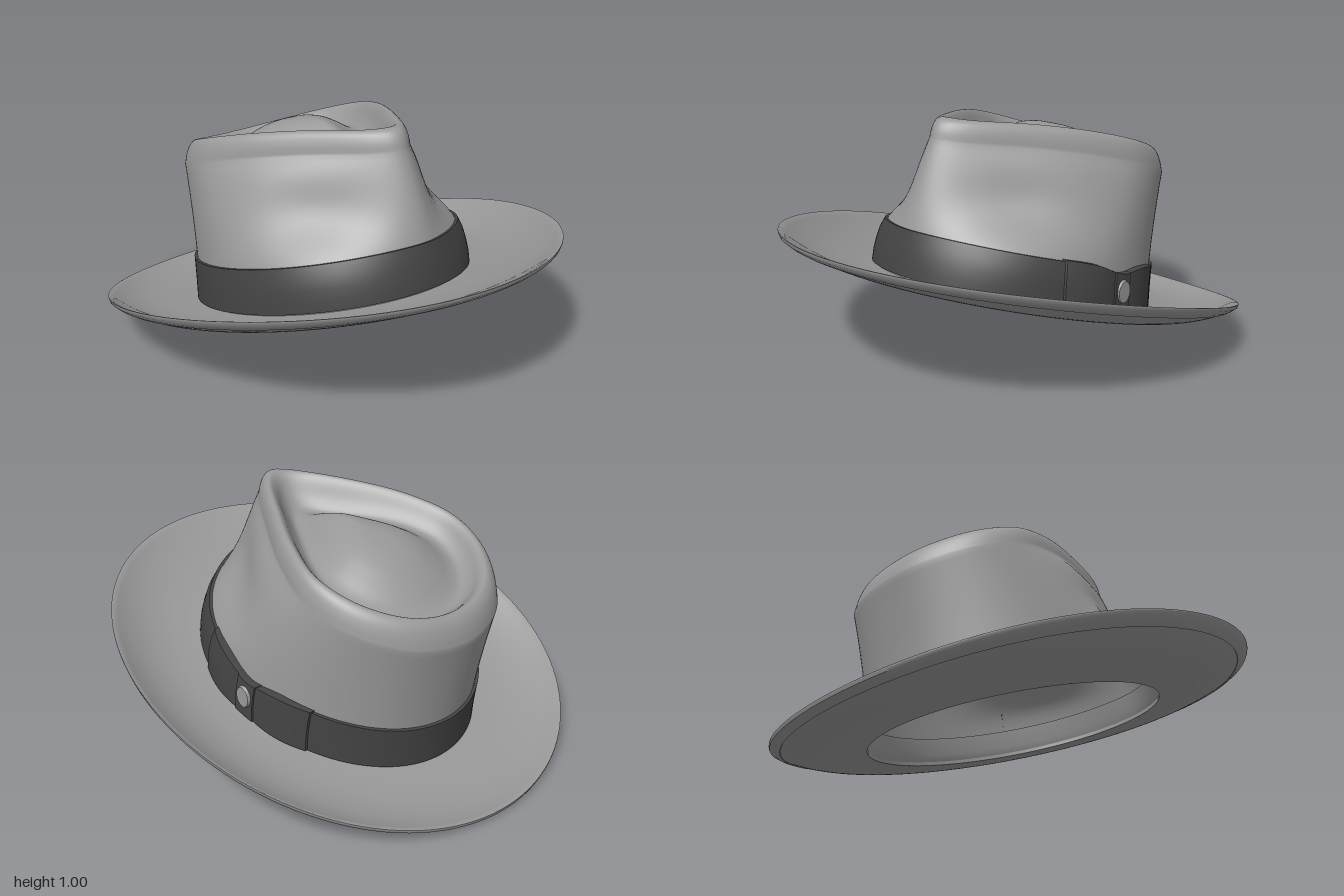
import * as THREE from 'three';
import { toCreasedNormals } from 'three/addons/utils/BufferGeometryUtils.js';

const SEG = 128;
const RAD = Math.PI / 180;
const { lerp, clamp } = THREE.MathUtils;
const BASE = -0.06; // height of the crown's lower edge above the sloping hat plane
const KNOT = 94 * RAD; // direction of the bow knot (0 = front, 90 = +x)

// The whole hat sits on a plane that rises toward the front
const tilt = (x, h, z) => [x, h + 0.3 + 0.28 * z, z];

// Skin between rows of points; point(row, angle, fraction) -> [x, height, z]
function loft(rows, point, { from = 0, to = Math.PI * 2, seg = SEG, crease = 0 } = {}) {
  const closed = to - from > 6.28;
  const cols = closed ? seg : seg + 1;
  const pos = [], idx = [];
  for (const row of rows) {
    for (let i = 0; i < cols; i++) pos.push(...tilt(...point(row, lerp(from, to, i / seg), i / seg)));
  }
  for (let j = 0; j < rows.length - 1; j++) {
    for (let i = 0; i < seg; i++) {
      const k = (i + 1) % cols;
      const a = j * cols + i, b = j * cols + k, c = a + cols, d = b + cols;
      idx.push(a, b, d, a, d, c);
    }
  }
  const geo = new THREE.BufferGeometry();
  geo.setAttribute('position', new THREE.Float32BufferAttribute(pos, 3));
  geo.setIndex(idx);
  geo.computeVertexNormals();
  return crease ? toCreasedNormals(geo, crease) : geo;
}

// Smooth profile through a few [a, b] points
function smooth(points, n) {
  const curve = new THREE.CatmullRomCurve3(points.map(([a, b]) => new THREE.Vector3(a, b, 0)));
  return curve.getPoints(n).map((p) => [p.x, p.y]);
}

// Oval outline of the head opening
const oval = (t) => [0.535 * Math.sin(t), -0.01 + 0.62 * Math.cos(t)];

// Teardrop outline of the top: rounded point in front, round back
const side = [[0.07, 0.39], [0.235, 0.16], [0.385, -0.1], [0.445, -0.3], [0.395, -0.5], [0.235, -0.665]];
const dropCurve = new THREE.CatmullRomCurve3(
  [[0, 0.43], ...side, [0, -0.725], ...side.map(([x, z]) => [-x, z]).reverse()]
    .map(([x, z]) => new THREE.Vector3(x, 0, z)), true);
function teardrop(t) {
  const p = dropCurve.getPointAt(t / (Math.PI * 2));
  return [p.x, p.z];
}
const rimHeight = (t) => 0.62 + 0.04 * Math.sin(t) ** 2 - 0.02 * Math.max(0, Math.cos(t)) ** 8;

// Crown wall at fraction f of its height: oval below, teardrop above, pinched at the front
function wallAt(f, t) {
  const w = Math.max(0, f) ** lerp(1.3, 1.9, Math.sin(t) ** 2);
  const [ox, oz] = oval(t), [tx, tz] = teardrop(t);
  const a = Math.min(t, Math.PI * 2 - t);
  const pinch = a < 100 * RAD ? Math.sin(1.8 * a) ** 2 : 0;
  const s = 1 - 0.13 * pinch * Math.sin(Math.PI * clamp((f - 0.25) / 0.75, 0, 1)) ** 2;
  return [lerp(ox, tx, w) * s, lerp(oz, tz, w) * s];
}

// Point on the wall at a given height, pushed outward by off
function onWall(h, t, off) {
  const [x, z] = wallAt((h - BASE) / (rimHeight(t) - 0.1 - BASE), t);
  const len = Math.hypot(x, z + 0.05);
  return [x + (x / len) * off, h, z + ((z + 0.05) / len) * off];
}

// Crown: wall, rounded rim, groove and raised centre in one skin
function crownGeometry() {
  const wall = Array.from({ length: 24 }, (_, i) => ({ f: i / 24 }));
  const top = smooth([
    [1, -0.1], [0.98, -0.055], [0.945, -0.018], [0.89, 0], [0.84, -0.014], [0.77, -0.058],
    [0.69, -0.086], [0.6, -0.078], [0.47, -0.042], [0.32, -0.005], [0.16, 0.016], [0, 0.02],
  ], 48).map(([s, d]) => ({ s, d }));
  return loft([...wall, ...top], (r, t) => {
    const H = rimHeight(t);
    if (r.f !== undefined) {
      const [x, z] = wallAt(r.f, t);
      return [x, lerp(BASE, H - 0.1, r.f), z];
    }
    const [x, z] = teardrop(t);
    const deeper = r.s < 0.88 && r.d < 0 ? 1 + 0.4 * Math.max(0, Math.cos(t)) ** 2 : 1;
    const h = lerp(0.645, H, Math.min(1, (r.s * 1.15) ** 2)) + r.d * deeper;
    return [x * r.s, h, lerp(-0.25, z, r.s)];
  });
}

// Brim point: u runs from head opening to outer edge, lift is height above the underside
function brimPoint([u, lift], t) {
  const [ox, oz] = oval(t);
  const sides = Math.sin(t) ** 2;
  return [
    lerp(ox, 0.917 * Math.sin(t), u),
    lerp(-0.077, -0.005 + 0.055 * sides, Math.max(0, u) ** 2.8) + lift,
    lerp(oz, Math.cos(t) - 0.04 * sides, u),
  ];
}

function brimGeometry() {
  const steps = Array.from({ length: 19 }, (_, i) => i / 18);
  const under = steps.map((u) => [u * 0.985, 0]);
  const over = steps.map((u) => [(1 - u) * 0.985, 0.016]);
  return loft([...under, [1, 0.006], [1, 0.012], ...over, [0, 0]], brimPoint, { crease: 0.9 });
}

// The ribbon's upper edge dips where the bow is tied
const ribbonTop = (t) => 0.132 - 0.032 * Math.exp(-(((t - KNOT) / 0.16) ** 2));

// Ribbon strip with closed edges; an open strip also closes against the wall at its ends
function ribbon(offset, extra, span = {}) {
  const rows = [[0, 0], [0, 1], [0.25, 1], [0.5, 1], [0.75, 1], [1, 1], [1, 0]];
  return loft(rows, ([v, out], t, e) => {
    const h = lerp(BASE + 0.005, ribbonTop(t) + extra, v);
    const thick = span.from && (e === 0 || e === 1) ? 0 : offset(t);
    return onWall(h, t, out * thick);
  }, { crease: 0.7, ...span });
}

export function createModel() {
  const group = new THREE.Group();
  const felt = new THREE.MeshStandardMaterial({ color: 0x999999, side: THREE.DoubleSide });
  const dark = new THREE.MeshStandardMaterial({ color: 0x444444, side: THREE.DoubleSide });
  const add = (name, geo, mat) => {
    const mesh = new THREE.Mesh(geo, mat);
    mesh.name = name;
    group.add(mesh);
    return mesh;
  };

  add('crown', crownGeometry(), felt);
  add('brim', brimGeometry(), felt);

  // Folded edge under the brim
  add('brimBinding', loft([[0.88, 0], [0.885, -0.004], [0.94, -0.005], [0.99, -0.002], [1, 0.006]],
    brimPoint, { crease: 0.7 }), felt);

  // Sweatband lining the head opening
  add('sweatband', loft([[-0.077, 0.008], [-0.06, 0], [-0.03, -0.007], [0.045, -0.009], [0.047, 0]],
    ([h, off], t) => onWall(h, t, off), { crease: 0.9 }), felt);

  // Ribbon, with a flat bow on the +x side
  add('hatBand', ribbon(() => 0.012, 0), dark);
  const loops = (t) => 0.02 + 0.012 * Math.sin(Math.min(1, Math.abs(t - KNOT) / 0.45) * Math.PI);
  add('bowLoops', ribbon(loops, 0.006, { from: 67 * RAD, to: 121 * RAD, seg: 40 }), dark);
  add('bowKnot', ribbon(() => 0.032, 0.008, { from: 89 * RAD, to: 99 * RAD, seg: 10 }), dark);

  // Small button on the knot
  const button = add('bowButton', new THREE.CylinderGeometry(0.034, 0.038, 0.012, 32), felt);
  button.rotation.z = -Math.PI / 2;
  button.scale.x = 1.3;
  button.position.set(...tilt(...onWall(0.035, KNOT, 0.034)));

  return group;
}
